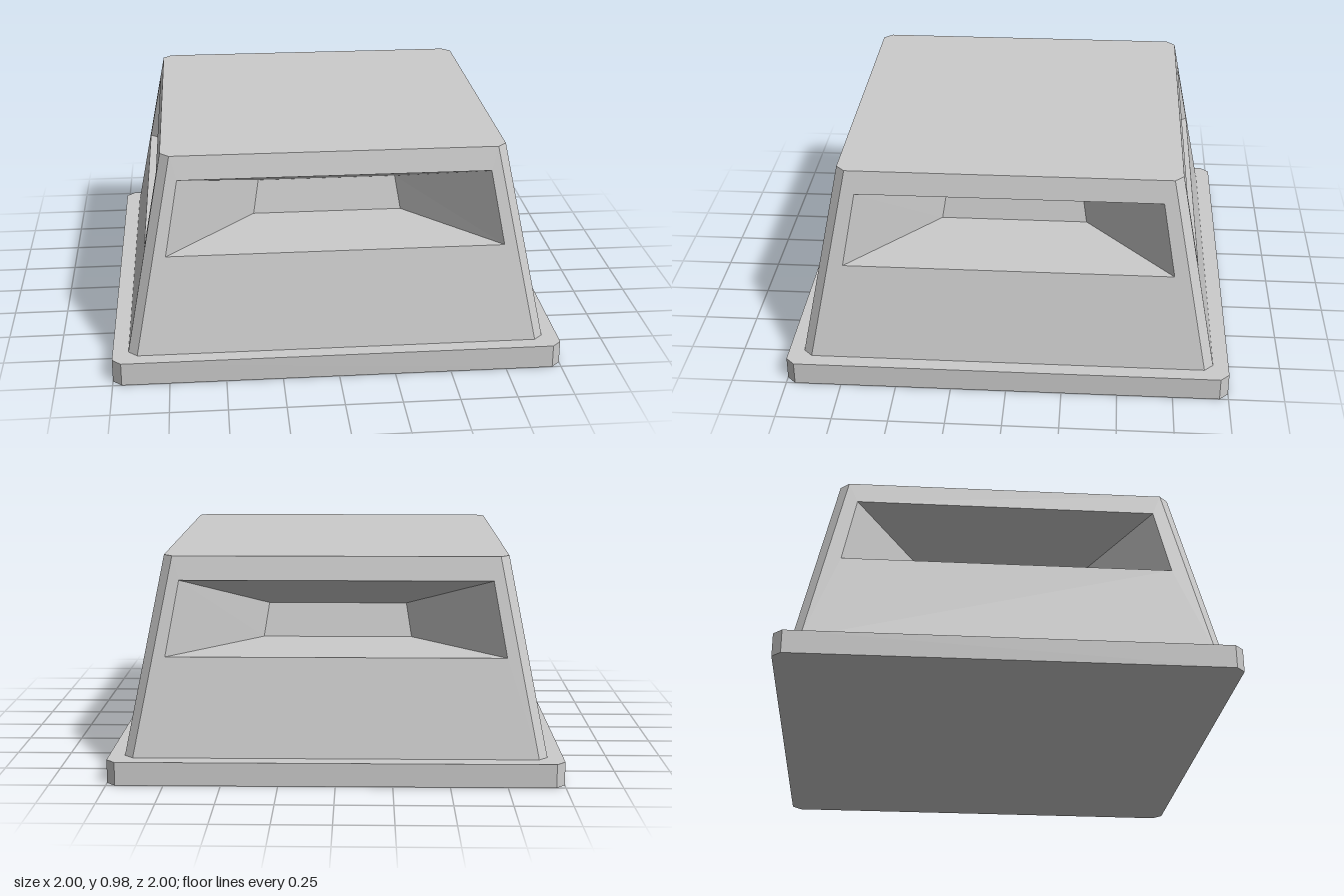
import * as THREE from 'three';

const material = new THREE.MeshStandardMaterial({ color: 0xcccccc, flatShading: true });

const BASE_TOP = 0.105, TOP = 0.975;
// Half width of the tapered body at height y
const halfAt = (y) => 0.93 - 0.17 * (y - BASE_TOP) / (TOP - BASE_TOP);

function mesh(name, geometry) {
  const m = new THREE.Mesh(geometry, material);
  m.name = name;
  return m;
}

// Square outline with cut corners
function cutSquare(half, cut) {
  const a = half, b = half - cut;
  return new THREE.Shape([
    [b, -a], [a, -b], [a, b], [b, a], [-b, a], [-a, b], [-a, -b], [-b, -a],
  ].map(([x, y]) => new THREE.Vector2(x, y)));
}

// Upright trapezoid loop, counter-clockwise from outside
function loop(y0, y1, w0, w1, z0, z1) {
  return [[-w0, y0, z0], [w0, y0, z0], [w1, y1, z1], [-w1, y1, z1]];
}

function quads(list) {
  const positions = list.flatMap(([a, b, c, d]) => [a, b, c, a, c, d].flat());
  const g = new THREE.BufferGeometry();
  g.setAttribute('position', new THREE.Float32BufferAttribute(positions, 3));
  g.computeVertexNormals();
  return g;
}

// Four quads joining two loops
const bridge = (a, b) => a.map((p, i) => {
  const j = (i + 1) % 4;
  return [p, a[j], b[j], b[i]];
});

export function createModel() {
  const group = new THREE.Group();

  // Base plate
  const plate = new THREE.ExtrudeGeometry(cutSquare(1, 0.04), { depth: BASE_TOP, bevelEnabled: false });
  group.add(mesh('basePlate', plate.rotateX(-Math.PI / 2)));

  // Flat roof
  const roof = new THREE.ShapeGeometry(cutSquare(halfAt(TOP), 0.04));
  group.add(mesh('roof', roof.rotateX(-Math.PI / 2).translate(0, TOP, 0)));

  const b = halfAt(BASE_TOP), t = halfAt(TOP);
  for (let i = 0; i < 4; i++) {
    const side = new THREE.Group();
    side.name = 'side' + (i + 1);
    side.rotation.y = i * Math.PI / 2;
    const s = i % 2 ? 0.983 : 1; // side openings are slightly narrower

    const outer = loop(BASE_TOP, TOP, b - 0.04, t - 0.04, b, t);
    const opening = loop(0.54, 0.87, 0.75 * s, 0.69 * s, halfAt(0.54), halfAt(0.87));
    const inner = loop(0.54, 0.695, 0.345 * s, 0.32 * s, 0.39, 0.36);

    // Sloping wall around the opening, and the funnel-shaped recess behind it
    side.add(mesh('wall', quads(bridge(outer, opening))));
    side.add(mesh('recess', quads([...bridge(opening, inner), inner])));

    // Narrow bevel at the corner
    side.add(mesh('cornerBevel', quads([[
      [b - 0.04, BASE_TOP, b], [b, BASE_TOP, b - 0.04],
      [t, TOP, t - 0.04], [t - 0.04, TOP, t],
    ]])));
    group.add(side);
  }
  return group;
}
